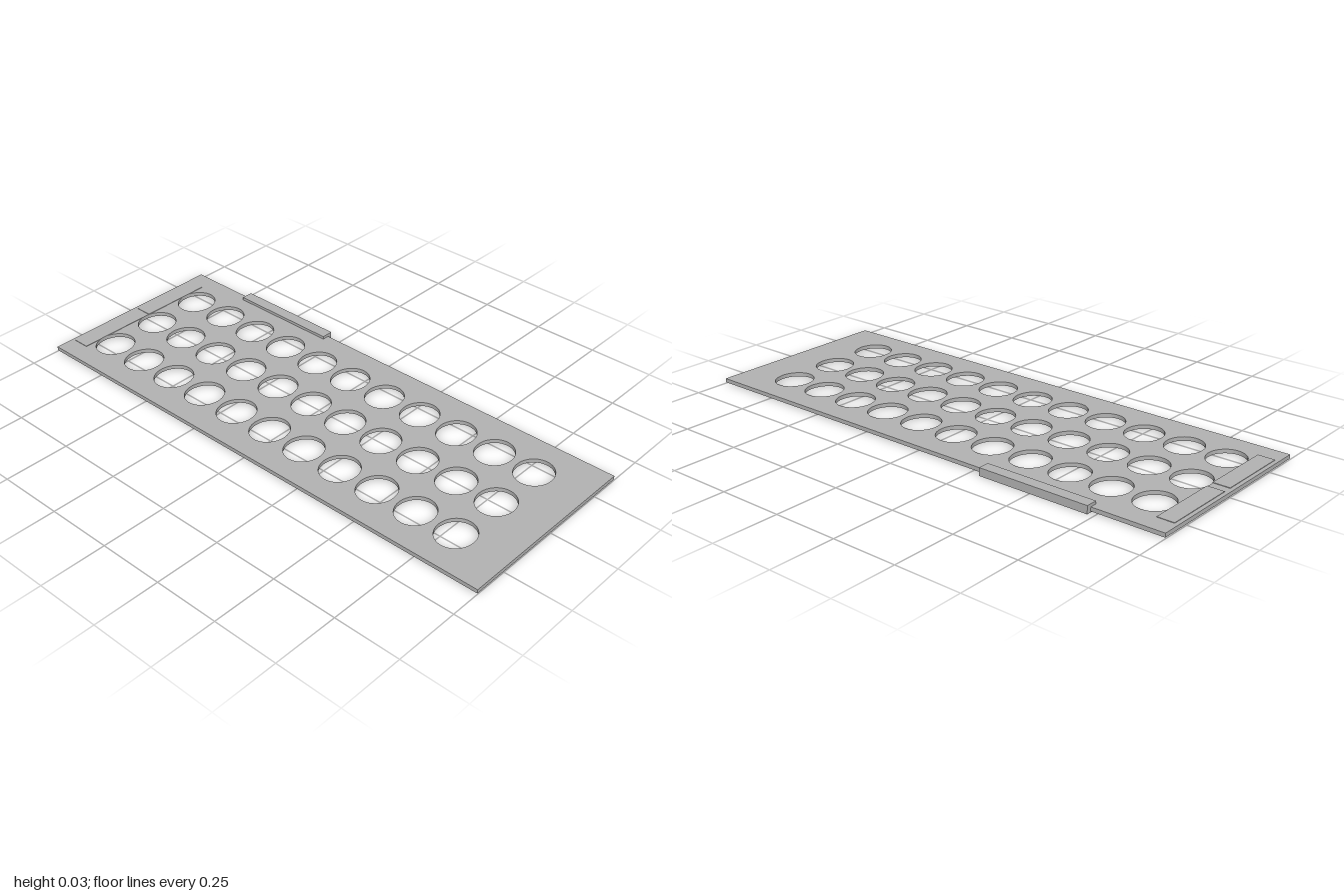
import * as THREE from 'three';

export function createModel() {
  const group = new THREE.Group();
  const grey = new THREE.MeshStandardMaterial({ color: 0xb2b2b2 });

  function add(name, geometry) {
    const mesh = new THREE.Mesh(geometry, grey);
    mesh.name = name;
    group.add(mesh);
    return mesh;
  }

  // Box given by its minimum and maximum corners
  function addBox(name, [x0, y0, z0], [x1, y1, z1]) {
    const box = add(name, new THREE.BoxGeometry(x1 - x0, y1 - y0, z1 - z0));
    box.position.set((x0 + x1) / 2, (y0 + y1) / 2, (z0 + z1) / 2);
  }

  // Perforated plate, drawn in x and -z, then laid flat
  const left = 0.367, right = -0.385, bottom = 0.004, top = 0.019;
  const plate = new THREE.Shape([
    new THREE.Vector2(right, -1), new THREE.Vector2(left, -1),
    new THREE.Vector2(left, 1), new THREE.Vector2(right, 1),
  ]);
  for (const x of [-0.222, -0.009, 0.203]) {
    for (let row = 0; row < 11; row++) {
      const z = -0.853 + row * 0.1644;
      const hole = new THREE.Path();
      hole.absellipse(x, -z, 0.077, 0.069, 0, Math.PI * 2, true);
      plate.holes.push(hole);
    }
  }
  const plateGeometry = new THREE.ExtrudeGeometry(plate, {
    depth: top - bottom, bevelEnabled: false, curveSegments: 40,
  });
  plateGeometry.rotateX(-Math.PI / 2);
  plateGeometry.translate(0, bottom, 0);
  add('perforatedPlate', plateGeometry);

  // C-shaped clip gripping the left edge
  const clip = new THREE.Shape([
    [0.34, 0], [0.385, 0], [0.385, 0.03], [0.34, 0.03],
    [0.34, top], [left, top], [left, bottom], [0.34, bottom],
  ].map(([x, y]) => new THREE.Vector2(x, y)));
  const clipGeometry = new THREE.ExtrudeGeometry(clip, { depth: 0.437, bevelEnabled: false });
  clipGeometry.translate(0, 0, -0.727);
  add('edgeClip', clipGeometry);

  // Two slightly raised blank panels near the back edge
  addBox('rightRaisedPanel', [-0.31, top, -0.985], [-0.025, 0.021, -0.92]);
  addBox('leftRaisedPanel', [0.008, top, -0.985], [0.295, 0.021, -0.92]);

  return group;
}
